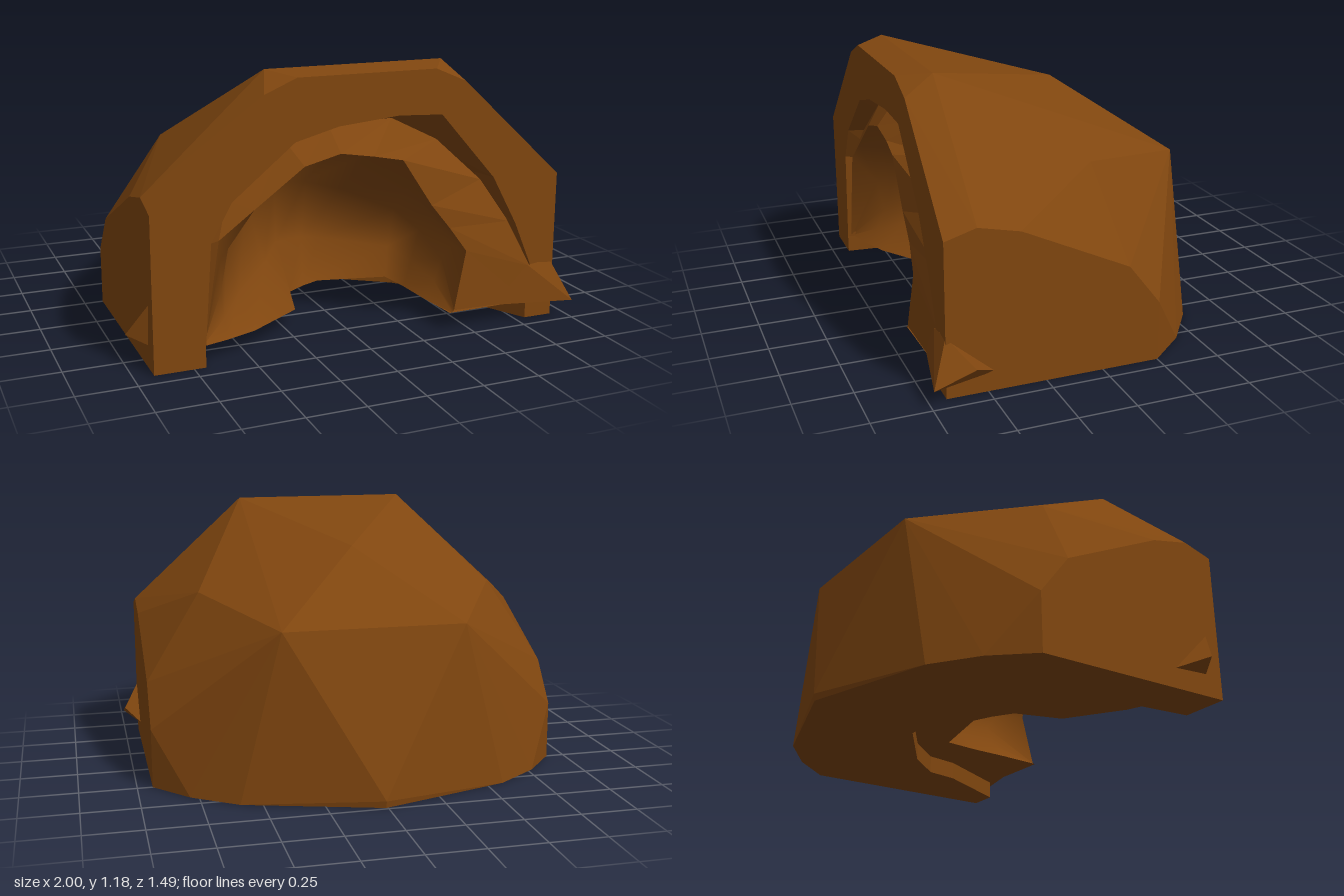
import * as THREE from 'three';
import { ConvexGeometry } from 'three/addons/geometries/ConvexGeometry.js';

const color = 0x80460f;
const flat = new THREE.MeshStandardMaterial({ color, flatShading: true, side: THREE.DoubleSide });
const smooth = new THREE.MeshStandardMaterial({ color, side: THREE.DoubleSide });
const FRONT = 0.675;
const vec = (p) => new THREE.Vector3(...p);

// Surface through a list of open curves that share a point count
function loft(rows) {
  const n = rows[0].length, index = [];
  for (let r = 0; r < rows.length - 1; r++) {
    for (let i = 0; i < n - 1; i++) {
      const a = r * n + i, b = a + 1, c = a + n, d = c + 1;
      index.push(a, c, b, b, c, d);
    }
  }
  const geo = new THREE.BufferGeometry();
  geo.setAttribute('position', new THREE.Float32BufferAttribute(rows.flat(2), 3));
  geo.setIndex(index);
  geo.computeVertexNormals();
  return geo;
}

// Faceted hull with its flat front and underside removed
function openHull(points) {
  const pos = new ConvexGeometry(points).attributes.position, kept = [];
  const t = new THREE.Triangle(), n = new THREE.Vector3();
  for (let i = 0; i < pos.count; i += 3) {
    t.setFromAttributeAndIndices(pos, i, i + 1, i + 2);
    t.getNormal(n);
    if (n.z > 0.99 || n.y < -0.99) continue;
    for (const p of [t.a, t.b, t.c]) kept.push(p.x, p.y, p.z);
  }
  const geo = new THREE.BufferGeometry();
  geo.setAttribute('position', new THREE.Float32BufferAttribute(kept, 3));
  geo.computeVertexNormals();
  return geo;
}

const outline = (pts) => new THREE.ShapeGeometry(new THREE.Shape(pts.map(([x, y]) => new THREE.Vector2(x, y))));

export function createModel() {
  const group = new THREE.Group();
  const add = (name, geo, mat = flat) => {
    const mesh = new THREE.Mesh(geo, mat);
    mesh.name = name;
    group.add(mesh);
    return mesh;
  };

  // Outer dome: half the points, mirrored about a seam just left of centre
  const half = [
    [0.925, 0, FRONT], [0.925, 0, -0.25], [0.78, 0, -0.42], [0.585, 0, -0.56],
    [0.925, 0.26, -0.25], [0.925, 0.44, -0.11], [0.925, 0.66, 0.36], [0.925, 0.7, 0.54],
    [0.925, 0.66, FRONT], [0.45, 1.1, FRONT], [0.31, 1.16, FRONT], [0.4, 1.18, 0.54],
    [0.68, 0.82, -0.04], [0.4, 0.73, -0.56],
  ];
  const middle = [[0, 1.02, -0.14], [0, 0.03, -0.745], [0, 0, -0.74]];
  const shell = [...middle, ...half, ...half.map(([x, y, z]) => [-x, y, z])];
  add('outerShell', openHull(shell.map(([x, y, z]) => vec([x + 0.008, y, z]))));

  // Front rim: arch between the dome edge and the opening
  const arch = [
    [-0.7, 0.08], [-0.67, 0.52], [-0.58, 0.68], [-0.31, 0.9], [-0.12, 0.95],
    [0.15, 0.975], [0.35, 0.965], [0.61, 0.67], [0.73, 0.45], [0.82, 0.24], [0.8, 0.08],
  ];
  add('frontRim', outline([
    [-0.917, 0], [-0.917, 0.66], [-0.442, 1.1], [-0.302, 1.16], [0.318, 1.16], [0.458, 1.1],
    [0.933, 0.66], [0.933, 0], [0.8, 0], ...arch.slice().reverse(), [-0.7, 0],
  ])).position.z = FRONT;

  // Underside: horseshoe on the ground
  const inner = [
    [-0.7, FRONT], [-0.68, 0.45], [-0.6, 0.18], [-0.46, -0.01], [-0.15, -0.19], [0, -0.2],
    [0.14, -0.19], [0.45, 0.02], [0.59, 0.18], [0.62, 0.33], [0.8, FRONT],
  ];
  add('underside', outline([
    [0.933, FRONT], [0.933, -0.25], [0.788, -0.42], [0.593, -0.56], [0.008, -0.74],
    [-0.577, -0.56], [-0.772, -0.42], [-0.917, -0.25], [-0.917, FRONT], ...inner,
  ])).rotation.x = Math.PI / 2;

  // Inside of the dome, from the arch back and down to the ground
  const level = (pts, y) => pts.map(([x, z]) => [x, y, z]);
  const upperInside = [
    [-0.7, 0.08, 0.6], [-0.68, 0.47, 0.45], [-0.6, 0.64, 0.3], [-0.38, 0.83, 0.2], [-0.15, 0.89, 0.15],
    [0.1, 0.91, 0.12], [0.3, 0.87, 0.15], [0.54, 0.66, 0.25], [0.63, 0.47, 0.35],
    [0.68, 0.25, 0.48], [0.78, 0.08, 0.64],
  ];
  const lowerInside = [
    [-0.7, 0.08, 0.6], [-0.65, 0.3, 0.35], [-0.57, 0.42, 0.1], [-0.4, 0.55, -0.06], [-0.15, 0.62, -0.14],
    [0, 0.63, -0.15], [0.15, 0.6, -0.14], [0.43, 0.5, 0.02], [0.57, 0.38, 0.16],
    [0.62, 0.2, 0.32], [0.78, 0.08, 0.64],
  ];
  add('innerShell', loft([
    arch.map(([x, y]) => [x, y, FRONT]), upperInside, lowerInside, level(inner, 0.08), level(inner, 0),
  ]));

  // Flat ledge under the lining
  const floorEdge = [
    [-0.72, 0.65], [-0.58, 0.61], [-0.45, 0.56], [-0.2, 0.39], [-0.14, 0.17], [-0.05, 0.11],
    [0.04, 0.07], [0.36, 0.14], [0.38, 0.3], [0.39, 0.48], [0.41, 0.685],
  ];
  add('ledge', loft([level(inner, 0.08), level(floorEdge, 0.08)]));

  // Lining: faceted lip sloping forward and down from the arch
  const seam = [
    [-0.7, 0.08, 0.66], [-0.67, 0.5, 0.62], [-0.58, 0.67, 0.6], [-0.32, 0.89, 0.57], [-0.12, 0.935, 0.56],
    [0.2, 0.93, 0.5], [0.42, 0.82, 0.5], [0.6, 0.64, 0.58], [0.72, 0.45, 0.63],
    [0.82, 0.24, 0.67], [0.8, 0.08, FRONT],
  ];
  const lip = [
    [-0.7, 0.08, 0.66], [-0.63, 0.52, 0.65], [-0.48, 0.63, 0.65], [-0.26, 0.79, 0.65], [-0.1, 0.83, 0.65],
    [0.05, 0.805, 0.65], [0.18, 0.78, 0.66], [0.32, 0.57, 0.66], [0.41, 0.46, 0.66],
    [0.49, 0.35, 0.67], [0.43, 0.09, 0.685],
  ];
  add('liningLip', loft([seam, lip]));

  // Smooth hollow: ceiling, back and lower slope down to the ledge
  const ceiling = [
    [-0.7, 0.08, 0.655], [-0.59, 0.4, 0.54], [-0.49, 0.57, 0.43], [-0.29, 0.77, 0.35], [-0.1, 0.81, 0.3],
    [0.05, 0.79, 0.29], [0.18, 0.73, 0.3], [0.36, 0.57, 0.36], [0.45, 0.45, 0.42],
    [0.5, 0.33, 0.52], [0.43, 0.09, 0.685],
  ];
  const back = [
    [-0.71, 0.08, 0.655], [-0.58, 0.25, 0.51], [-0.5, 0.38, 0.35], [-0.33, 0.52, 0.12], [-0.15, 0.56, 0],
    [0.02, 0.54, -0.04], [0.2, 0.49, -0.02], [0.42, 0.4, 0.1], [0.48, 0.33, 0.25],
    [0.49, 0.25, 0.45], [0.43, 0.09, 0.685],
  ];
  const slope = [
    [-0.71, 0.08, 0.65], [-0.58, 0.15, 0.55], [-0.48, 0.2, 0.44], [-0.28, 0.25, 0.22], [-0.15, 0.28, 0.02],
    [0, 0.27, -0.04], [0.1, 0.25, -0.06], [0.4, 0.21, 0.08], [0.44, 0.18, 0.25],
    [0.45, 0.15, 0.46], [0.42, 0.08, 0.685],
  ];
  add('hollow', loft([lip, ceiling, back, slope, level(floorEdge, 0.08)]), smooth);

  // Pointed tufts at the front corners
  add('leftTuft', new ConvexGeometry([
    [1, 0.08, 0.745], [1, 0.14, 0.57], [0.92, 0.26, 0.67], [0.92, 0.08, 0.46],
    [0.64, 0.08, 0.67], [0.8, 0.25, 0.68],
  ].map(vec)));
  add('rightTuft', new ConvexGeometry([
    [-1, 0.14, 0.55], [-0.9, 0.3, 0.62], [-0.9, 0.08, 0.4], [-0.9, 0.09, 0.6], [-0.85, 0.12, 0.5],
  ].map(vec)));

  return group;
}
